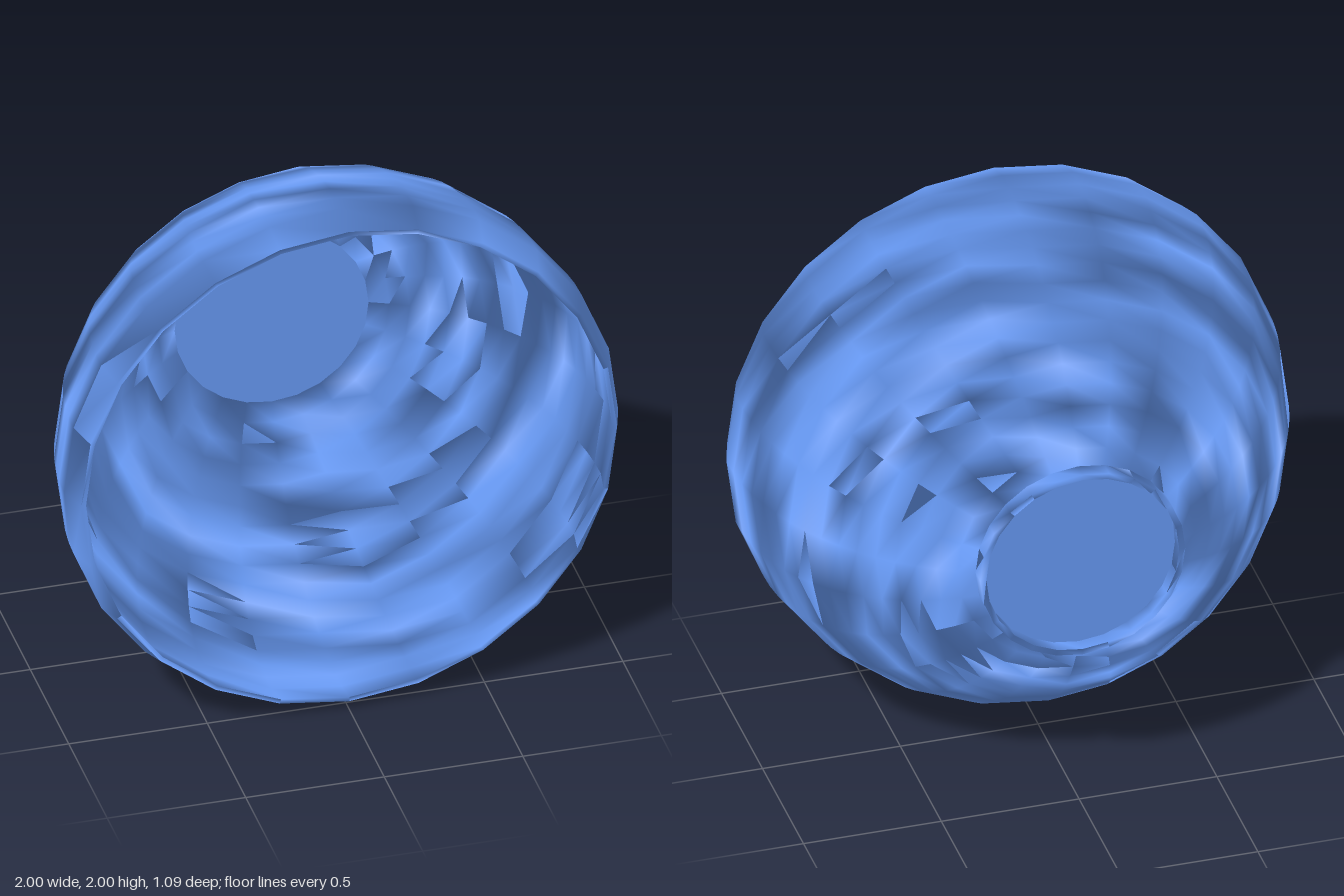
import * as THREE from 'three';

const SIDES = 24;
const CENTRE = 0.44; // depth of the sphere centre, just behind the rim

// Repeatable value from -1 to 1 for a cell of the hammered pattern.
function noise(row, side, axis) {
  const s = Math.sin(row * 12.99 + (side % SIDES) * 78.23 + axis * 37.72) * 43758.55;
  return 2 * (s - Math.floor(s)) - 1;
}

// Hammered finish: tilts the shading normals in soft patches, leaving the outline true.
function hammer(geometry, rows) {
  const normals = geometry.attributes.normal;
  const n = new THREE.Vector3();
  const tilt = new THREE.Vector3();
  for (let k = 0; k < normals.count; k++) {
    const row = k % rows;
    const side = Math.floor(k / rows);
    const soft = [0, 1, 2].map((axis) => (
      noise(row, side, axis) + noise(row + 1, side, axis)
      + noise(row, side + 1, axis) + noise(row + 1, side + 1, axis)) / 4);
    n.fromBufferAttribute(normals, k).multiplyScalar(0.25).add(tilt.fromArray(soft)).normalize();
    normals.setXYZ(k, n.x, n.y, n.z);
  }
}

// Points on a circular arc, from radius r0 to the full sphere radius.
function arc(sphere, r0, steps) {
  const start = Math.asin(r0 / sphere);
  return Array.from({ length: steps + 1 }, (_, i) => {
    const a = start + (Math.PI / 2 - start) * (i / steps);
    return [sphere * Math.sin(a), CENTRE - sphere * Math.cos(a)];
  });
}

// Turns a [radius, z] profile about the z axis and hammers it.
function turned(name, profile, material) {
  const points = profile.map(([r, z]) => new THREE.Vector2(r, z));
  const geometry = new THREE.LatheGeometry(points, SIDES).rotateX(Math.PI / 2);
  hammer(geometry, points.length);
  const mesh = new THREE.Mesh(geometry, material);
  mesh.name = name;
  mesh.position.y = 1;
  return mesh;
}

// Flat disc closing the shell, facing the front or the back.
function disc(name, radius, z, turn, material) {
  const mesh = new THREE.Mesh(new THREE.CircleGeometry(radius, SIDES), material);
  mesh.name = name;
  mesh.position.set(0, 1, z);
  mesh.rotation.y = turn;
  return mesh;
}

export function createModel() {
  const group = new THREE.Group();
  group.name = 'bowl';
  const blue = new THREE.MeshStandardMaterial({ color: 0x6495ed });

  // Hemispherical wall with a slightly drawn-in rim
  const outside = arc(1, 0.36, 16);
  const inside = arc(0.97, 0.35, 16).reverse();
  group.add(turned('bowlShell', [...outside, [0.967, 0.545], [0.95, 0.545], ...inside], blue));

  // Smooth floor, seen from inside and from underneath
  group.add(disc('floor', 0.35, inside[inside.length - 1][1], 0, blue));
  group.add(disc('underside', 0.36, outside[0][1], Math.PI, blue));

  // Thin foot ring on the back
  group.add(turned('footRing', [
    [0.35, -0.48], [0.35, -0.545], [0.372, -0.545], [0.372, -0.48],
  ], blue));

  return group;
}
